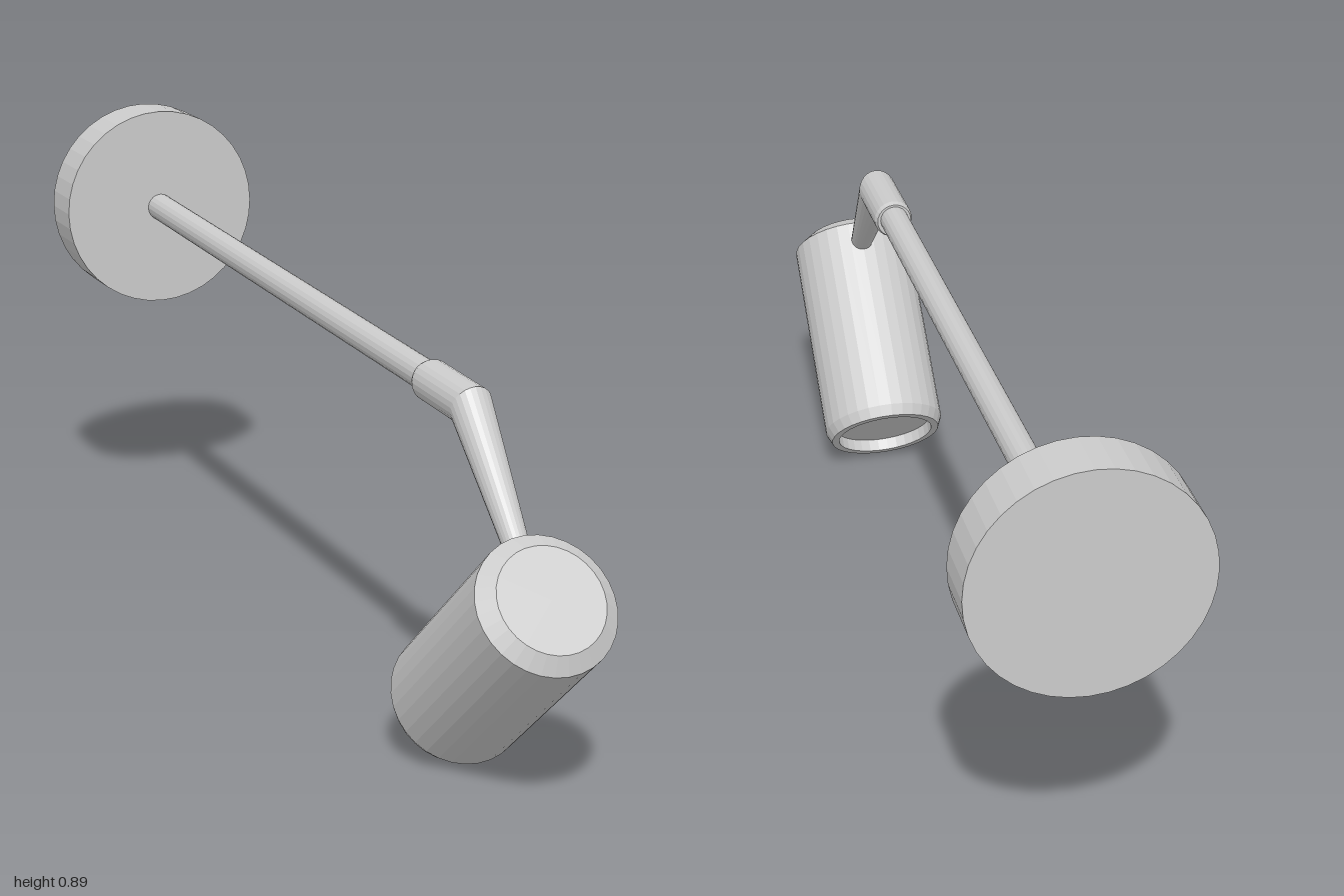
import * as THREE from 'three';

const SIDES = 32;

// Skin over elliptical rings: each is [y, z, upY, upZ, halfWidth]
function loft(rings, sides) {
  const pos = [], index = [];
  for (const [y, z, uy, uz, rx] of rings) {
    for (let j = 0; j < sides; j++) {
      const a = (j / sides) * Math.PI * 2;
      pos.push(Math.cos(a) * rx, y + uy * Math.sin(a), z + uz * Math.sin(a));
    }
  }
  for (let i = 0; i < rings.length - 1; i++) {
    for (let j = 0; j < sides; j++) {
      const k = (j + 1) % sides;
      const a = i * sides + j, b = i * sides + k;
      index.push(a, b, b + sides, a, b + sides, a + sides);
    }
  }
  const geo = new THREE.BufferGeometry();
  geo.setAttribute('position', new THREE.Float32BufferAttribute(pos, 3));
  geo.setIndex(index);
  geo.computeVertexNormals();
  return geo;
}

export function createModel() {
  const group = new THREE.Group();
  const material = new THREE.MeshStandardMaterial({ color: 0xcccccc, flatShading: true });
  const add = (name, geometry) => {
    const mesh = new THREE.Mesh(geometry, material);
    mesh.name = name;
    group.add(mesh);
    return mesh;
  };

  // Round wall plate
  const plate = add('wallPlate', new THREE.CylinderGeometry(0.208, 0.208, 0.105, 40));
  plate.rotation.x = Math.PI / 2;
  plate.position.set(0, 0.682, -0.9475);

  // Long arm, sloping slightly down towards the front
  const from = new THREE.Vector3(0, 0.682, -0.9), to = new THREE.Vector3(0, 0.645, 0.5);
  const dir = to.clone().sub(from);
  const arm = add('arm', new THREE.CylinderGeometry(0.028, 0.028, dir.length(), 20));
  arm.position.copy(from).add(to).multiplyScalar(0.5);
  arm.quaternion.setFromUnitVectors(new THREE.Vector3(0, 1, 0), dir.normalize());

  // Collar with a mitred elbow into the tapered stem
  add('elbowAndStem', loft([
    [0.644, 0.467, 0, 0, 0],
    [0.644, 0.467, 0.034, 0.001, 0.034],
    [0.6437, 0.477, 0.038, 0.001, 0.038],
    [0.639, 0.631, 0.0375, 0.017, 0.038],
    [0.425, 0.826, 0.0138, 0.0159, 0.021],
    [0.425, 0.826, 0, 0, 0],
  ], 24));

  // Shade: bevelled closed top, recessed light opening at the bottom
  const profile = [
    [0, 0.025], [0.1, 0.025], [0.1, 0], [0.115, 0], [0.125, 0.022],
    [0.125, 0.444], [0.096, 0.467], [0, 0.467],
  ].map(([r, y]) => new THREE.Vector2(r, y));
  const shade = add('shade', new THREE.LatheGeometry(profile, SIDES));
  shade.rotation.x = 0.857;
  shade.position.set(0, 0.088, 0.583);

  return group;
}
